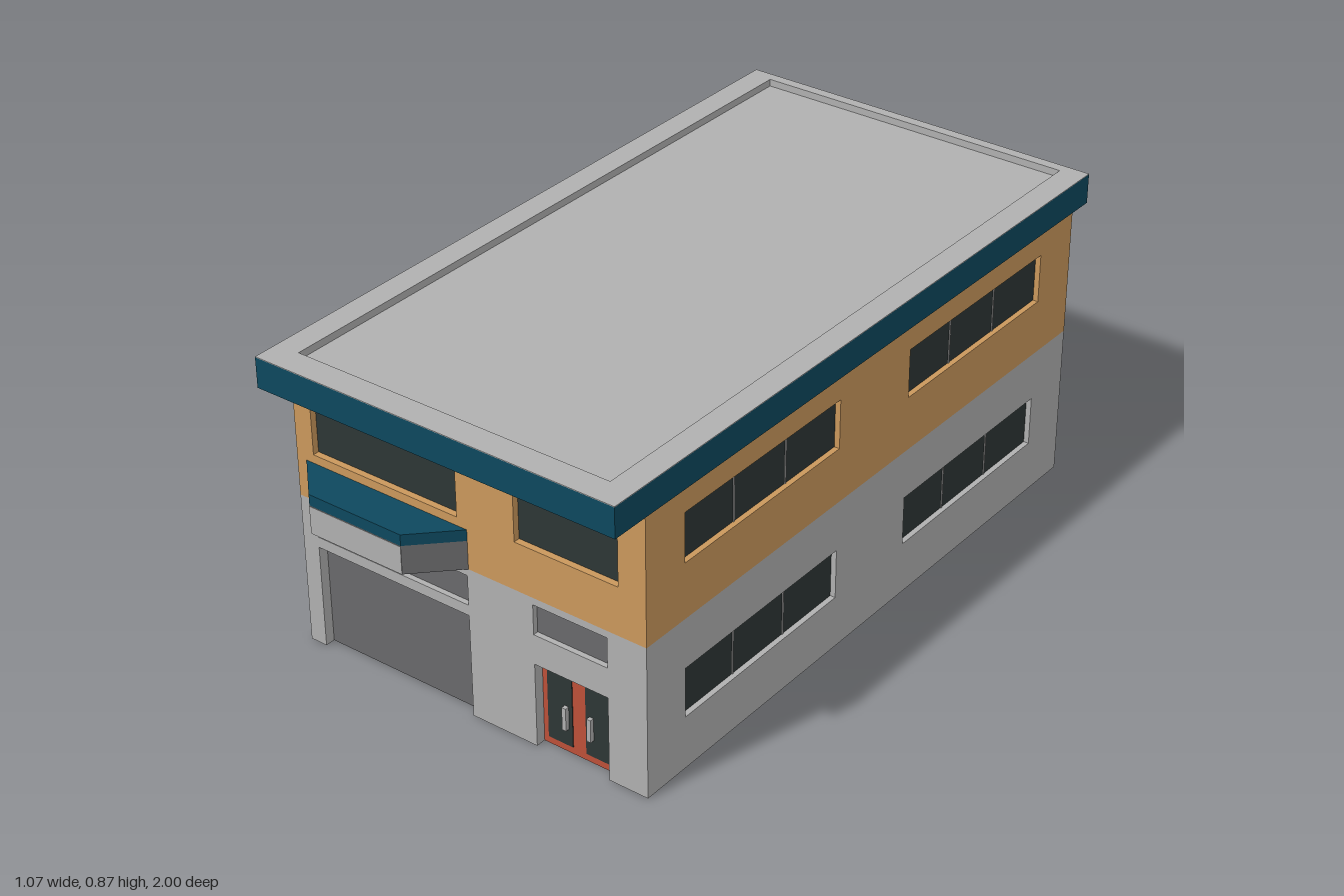
import * as THREE from 'three';

const mat = (name, color) => {
  const m = new THREE.MeshStandardMaterial({ color, side: THREE.DoubleSide });
  m.name = name;
  return m;
};

export function createModel() {
  const grey = mat('light grey', 0xb0b0b0);
  const ochre = mat('ochre', 0xca985c);
  const blue = mat('deep blue', 0x0d485e);
  const dark = mat('mid grey', 0x69696b);
  const glass = mat('dark glass', 0x2d3635);
  const red = mat('door red', 0xbc5039);
  const olive = mat('olive', 0x7c7450);

  const W = 0.535, FRONT = 0.89, BACK = -0.93, SPLIT = 0.43, TOP = 0.785, T = 0.03;
  const model = new THREE.Group();
  model.name = 'building';

  const add = (parent, name, geo, material) => {
    const m = new THREE.Mesh(geo, material);
    m.name = name;
    parent.add(m);
    return m;
  };
  // Box given by its limits on each axis
  const box = (parent, name, material, x0, x1, y0, y1, z0, z1) => {
    const m = add(parent, name, new THREE.BoxGeometry(x1 - x0, y1 - y0, Math.abs(z1 - z0)), material);
    m.position.set((x0 + x1) / 2, (y0 + y1) / 2, (z0 + z1) / 2);
    return m;
  };
  const rect = (x0, x1, y0, y1) => [[x0, y0], [x1, y0], [x1, y1], [x0, y1]];
  const toVec = (pts) => pts.map((p) => new THREE.Vector2(...p));
  // Flat slab with openings, extruded along +z
  const slab = (outline, holes, depth) => {
    const s = new THREE.Shape(toVec(outline));
    holes.forEach((h) => s.holes.push(new THREE.Path(toVec(rect(...h)))));
    return new THREE.ExtrudeGeometry(s, { depth, bevelEnabled: false });
  };

  // Front and back walls share one layout
  const upperWindows = [[-0.48, -0.025, 0.565, 0.705], [0.15, 0.455, 0.565, 0.705]];
  const transoms = [[-0.485, 0, 0.325, 0.41], [0.2, 0.42, 0.325, 0.41]];
  const lowerOutline = [[-W, 0], [-0.485, 0], [-0.485, 0.295], [0, 0.295], [0, 0], [0.2, 0],
    [0.2, 0.24], [0.42, 0.24], [0.42, 0], [W, 0], [W, SPLIT], [-W, SPLIT]];

  const endWall = (name, face, s, gateMaterial) => {
    const g = new THREE.Group();
    g.name = name;
    model.add(g);
    const at = (depth) => face - s * depth;
    const z = s > 0 ? face - T : face;
    add(g, 'lowerWall', slab(lowerOutline, transoms, T), grey).position.z = z;
    add(g, 'upperWall', slab(rect(-W, W, SPLIT, TOP), upperWindows, T), ochre).position.z = z;
    upperWindows.forEach((w) => box(g, 'window', glass, ...w, at(0.018), at(0.024)));
    transoms.forEach((w) => box(g, 'transomPanel', dark, ...w, at(0.015), at(0.024)));
    box(g, 'garageDoor', gateMaterial, -0.485, 0, 0, 0.295, at(0.028), at(0.036));
    // Double entrance door with glazing and pull handles
    box(g, 'entranceDoor', red, 0.2, 0.42, 0, 0.24, at(0.028), at(0.036));
    [[0.215, 0.29, 0.273], [0.33, 0.402, 0.348]].forEach(([x0, x1, hx]) => {
      box(g, 'doorGlass', glass, x0, x1, 0.02, 0.22, at(0.026), at(0.038));
      box(g, 'doorHandle', grey, hx - 0.006, hx + 0.006, 0.07, 0.135, at(0.014), at(0.026));
    });
  };
  endWall('frontWall', FRONT, 1, dark);
  endWall('backWall', BACK, -1, olive);

  // Long side walls, drawn along z and turned into place
  const spans = [[0.13, 0.745], [-0.78, -0.17]];
  const sideWall = (name, s) => {
    const g = new THREE.Group();
    g.name = name;
    g.rotation.y = -Math.PI / 2;
    g.position.x = s > 0 ? W : -W + T;
    model.add(g);
    const at = (depth) => (s > 0 ? depth : T - depth);
    [['lowerWall', grey, 0, SPLIT, 0.15, 0.29], ['upperWall', ochre, SPLIT, TOP, 0.585, 0.722]]
      .forEach(([part, material, y0, y1, w0, w1]) => {
        const holes = spans.map(([a, b]) => [a, b, w0, w1]);
        add(g, part, slab(rect(BACK, FRONT, y0, y1), holes, T), material);
        holes.forEach((h) => {
          box(g, 'window', glass, ...h, at(0.015), at(0.022));
          for (let i = 1; i < 3; i++) {
            const u = h[0] + (h[1] - h[0]) * i / 3;
            box(g, 'mullion', grey, u - 0.0025, u + 0.0025, w0, w1, at(0.013), at(0.016));
          }
        });
      });
  };
  sideWall('leftWall', 1);
  sideWall('rightWall', -1);

  // Roof: fascia, soffits, raised rim and sunken deck
  const roof = new THREE.Group();
  roof.name = 'roof';
  model.add(roof);
  const R = 0.537, H = 0.868;
  [-1, 1].forEach((s) => {
    const x = s * (R - 0.005);
    box(roof, 'sideFascia', blue, x - 0.005, x + 0.005, TOP, H, -1, 1);
    box(roof, 'endFascia', blue, -R, R, TOP, H, s, s * 0.99);
  });
  box(roof, 'frontSoffit', dark, -R + 0.01, R - 0.01, TOP, TOP + 0.006, FRONT - T, 0.99);
  box(roof, 'backSoffit', dark, -R + 0.01, R - 0.01, TOP, TOP + 0.006, -0.99, BACK + T);
  // After the turn, shape y runs towards -z
  const rim = add(roof, 'rim', slab(rect(-R, R, -1, 1), [[-0.468, 0.466, -0.925, 0.97]], 0.02), grey);
  rim.scale.set(1, 1, 0.1);
  rim.rotation.x = -Math.PI / 2;
  rim.position.y = H;
  const lip = add(roof, 'rimInnerEdge',
    slab(rect(-R + 0.01, R - 0.01, -0.99, 0.99), [[-0.468, 0.466, -0.925, 0.97]], 0.018), grey);
  lip.rotation.x = -Math.PI / 2;
  lip.position.y = H - 0.018;
  box(roof, 'deck', grey, -R + 0.01, R - 0.01, 0.842, 0.85, -0.99, 0.99);

  // Canopy with splayed ends above the garage door
  const canopy = new THREE.Group();
  canopy.name = 'canopy';
  model.add(canopy);
  const plan = [[-0.505, -FRONT], [-0.395, -1], [-0.105, -1], [0.005, -FRONT]];
  const layer = (name, y0, y1, materials) => {
    const m = add(canopy, name, slab(plan, [], y1 - y0), materials);
    m.rotation.x = -Math.PI / 2;
    m.position.y = y0;
  };
  layer('canopyBody', SPLIT, 0.51, [grey, dark]);
  layer('canopyTrim', 0.51, 0.541, blue);
  box(canopy, 'canopyFrontPanel', grey, -0.395, -0.105, SPLIT, 0.508, 0.998, 1.001);

  return model;
}
